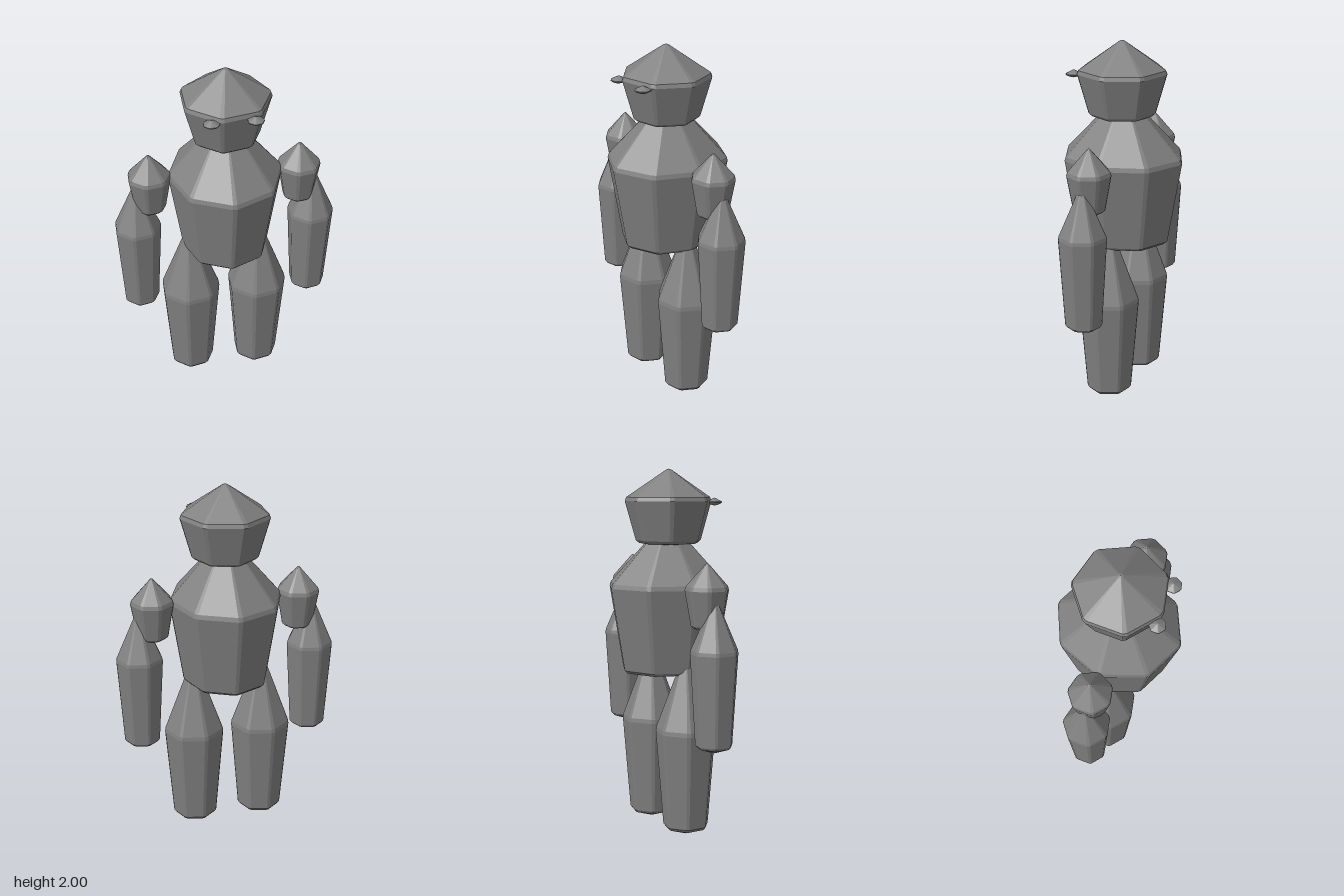
import * as THREE from 'three';

const stone = new THREE.MeshStandardMaterial({ color: 0x808080, flatShading: true });
stone.name = 'stone grey';

// Faceted spindle with chamfered edges: bottom point, base ring, widest ring, top point.
function spindle(sides, [bottom, base, rim, top], baseR, rimR, bevel) {
  const corners = [[0, bottom], [baseR, base], [rimR, rim], [0, top]].map(p => new THREE.Vector2(...p));
  const profile = [corners[0]];
  for (let i = 1; i < 3; i++) {
    for (const next of [corners[i - 1], corners[i + 1]]) {
      const d = next.clone().sub(corners[i]);
      profile.push(corners[i].clone().add(d.setLength(Math.min(bevel, d.length() / 3))));
    }
  }
  // blunt tip
  profile.push(new THREE.Vector2(rimR * 0.06, top - (top - rim) * 0.03), corners[3]);

  // ring corners are cut into short chamfers
  const corner = i => {
    const a = (i / sides) * Math.PI * 2;
    return new THREE.Vector2(Math.cos(a), Math.sin(a));
  };
  const cut = Math.min(0.12, bevel / (rimR * 2 * Math.sin(Math.PI / sides)));
  const ring = [];
  for (let i = 0; i < sides; i++) {
    ring.push(corner(i).lerp(corner(i - 1), cut), corner(i).lerp(corner(i + 1), cut));
  }

  const n = ring.length, positions = [], index = [];
  for (const p of profile) for (const c of ring) positions.push(c.x * p.x, p.y, c.y * p.x);
  for (let j = 0; j < profile.length - 1; j++) {
    for (let i = 0; i < n; i++) {
      const a = j * n + i, b = j * n + (i + 1) % n;
      if (profile[j].x > 0) index.push(a, a + n, b);
      if (profile[j + 1].x > 0) index.push(b, a + n, b + n);
    }
  }
  const geometry = new THREE.BufferGeometry();
  geometry.setAttribute('position', new THREE.Float32BufferAttribute(positions, 3));
  geometry.setIndex(index);
  geometry.computeVertexNormals();
  return geometry;
}

export function createModel() {
  const model = new THREE.Group();
  model.name = 'stoneFigure';
  const add = (name, geometry, x, z = 0) => {
    const mesh = new THREE.Mesh(geometry, stone);
    mesh.name = name;
    mesh.position.set(x, 0, z);
    model.add(mesh);
    return mesh;
  };

  // Body and head
  add('torso', spindle(8, [0.865, 0.895, 1.375, 1.725], 0.266, 0.35, 0.014), -0.004).scale.x = 0.9;
  add('head', spindle(7, [1.58, 1.6, 1.84, 2.0], 0.183, 0.252, 0.014), -0.004, 0.008);

  // Paired parts share one geometry and keep the same facet direction
  const pairs = [
    ['Shoulder', spindle(7, [1.163, 1.175, 1.385, 1.515], 0.086, 0.124, 0.012), 0.4, -0.414, 0],
    ['Arm', spindle(7, [0.52, 0.555, 1.06, 1.345], 0.102, 0.133, 0.01), 0.477, -0.49, 0],
    ['Leg', spindle(7, [0, 0.045, 0.595, 1.03], 0.128, 0.173, 0.012), 0.179, -0.207, 0],
    ['Eye', spindle(7, [1.801, 1.81, 1.821, 1.844], 0.033, 0.048, 0.004), 0.114, -0.109, 0.237],
  ];
  for (const [part, geometry, leftX, rightX, z] of pairs) {
    add('left' + part, geometry, leftX, z);
    add('right' + part, geometry, rightX, z);
  }
  return model;
}
